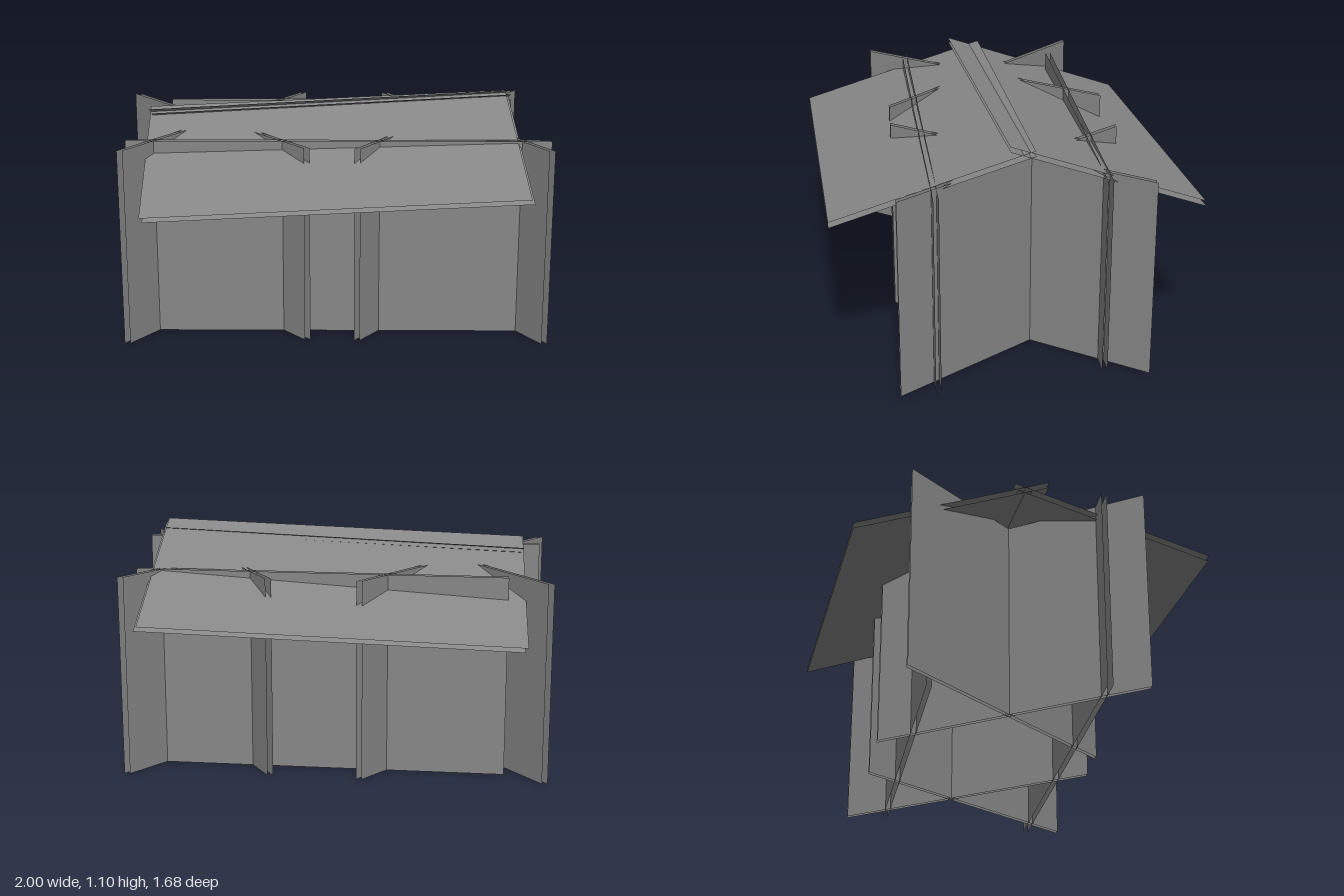
import * as THREE from 'three';

const material = new THREE.MeshStandardMaterial({ color: 0x878787, flatShading: true, side: THREE.DoubleSide });
const WALL_HEIGHT = 0.945;
const v = (x, y, z) => new THREE.Vector3(x, y, z);

// Panel of two parallel open faces: a parallelogram spanned by edges a-b and a-c, and its copy moved by offset
function panel(name, a, b, c, offset) {
  const d = b.clone().add(c).sub(a);
  const face = new THREE.BufferGeometry().setFromPoints([a, b, d, c]);
  face.setIndex([0, 1, 2, 0, 2, 3]);
  face.computeVertexNormals();
  const group = new THREE.Group();
  group.name = name;
  const outer = new THREE.Mesh(face, material);
  outer.name = name + 'Face';
  const inner = outer.clone();
  inner.position.copy(offset);
  group.add(outer, inner);
  return group;
}

// Upright panel between two plan points [x, z], centred between its two faces
function wall(name, [x0, z0], [x1, z1], offset) {
  const a = v(x0, 0, z0).addScaledVector(offset, -0.5);
  const b = v(x1, 0, z1).addScaledVector(offset, -0.5);
  return panel(name, a, b, a.clone().setY(WALL_HEIGHT), offset);
}

export function createModel() {
  const group = new THREE.Group();
  group.name = 'slottedPanelHouse';

  // Long walls, slightly turned
  const wallGap = v(0, 0, 0.024);
  group.add(wall('frontWall', [-0.975, 0.297], [0.998, 0.39], wallGap));
  group.add(wall('backWall', [-0.8, -0.455], [0.922, -0.384], wallGap));

  // Diagonal walls, crossing in two pairs: front end, back end
  const crossGap = v(0.026, 0, 0);
  [
    [[-0.986, 0.475], [-0.127, -0.58]],
    [[-0.137, 0.465], [-0.985, -0.58]],
    [[0.093, 0.485], [0.96, -0.58]],
    [[0.973, 0.558], [0.287, -0.56]],
  ].forEach(([front, back], i) => group.add(wall('crossWall' + (i + 1), front, back, crossGap)));

  // Roof panels, crossing at the ridge and rising toward +x: low eave, high eave, low ridge end
  const roofGap = v(0.013, -0.02, 0);
  group.add(panel('frontRoof', v(-0.88, 0.735, 0.814), v(0.842, 0.805, 0.838), v(-0.88, 1.004, -0.09), roofGap));
  group.add(panel('backRoof', v(-0.88, 0.712, -0.815), v(0.842, 0.782, -0.84), v(-0.88, 1.03, 0.07), roofGap));

  return group;
}
